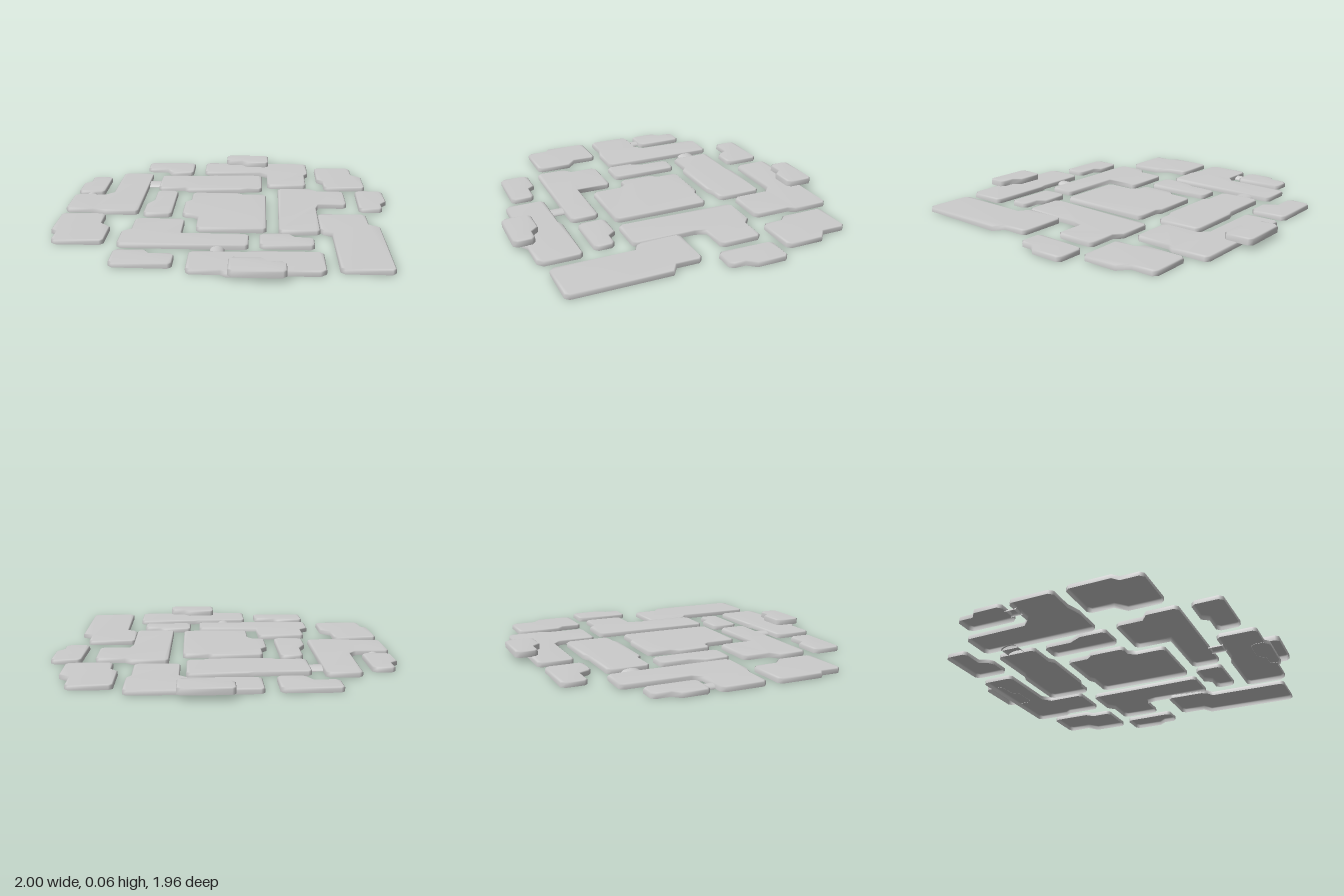
import * as THREE from 'three';

const material = new THREE.MeshStandardMaterial({ color: 0xcccccc, side: THREE.DoubleSide });

// Clip the square outer corners of an outline
function clipCorners(outline, cut) {
  const result = [];
  outline.forEach((p, i) => {
    const n = outline.length;
    const back = outline[(i + n - 1) % n].clone().sub(p).normalize();
    const ahead = outline[(i + 1) % n].clone().sub(p).normalize();
    const turn = ahead.cross(back);
    if (turn > 0.85) {
      result.push(p.clone().addScaledVector(back, cut), p.clone().addScaledVector(ahead, cut));
    } else result.push(p.clone());
  });
  return result;
}

// Move an outline inwards by a mitred offset
function inset(outline, r) {
  const n = outline.length;
  const normal = (a, b) => new THREE.Vector2(a.y - b.y, b.x - a.x).normalize();
  return outline.map((p, i) => {
    const n1 = normal(outline[(i + n - 1) % n], p);
    const n2 = normal(p, outline[(i + 1) % n]);
    const k = r / (1 + n1.dot(n2));
    return p.clone().addScaledVector(n1.add(n2), k);
  });
}

// Thin paving slab, open below: wall, bevel and top, from x,z pairs clockwise seen from above
function slab(name, coords, y0 = 0, y1 = 0.028) {
  const raw = [];
  for (let i = 0; i < coords.length; i += 2) raw.push(new THREE.Vector2(coords[i], coords[i + 1]));
  const outer = clipCorners(raw, 0.022);
  const top = inset(outer, 0.007);
  const n = outer.length;
  const positions = [];
  const index = [];
  const ring = (points, y) => points.forEach((p) => positions.push(p.x, y, p.y));
  ring(outer, y0);
  ring(outer, y1 - 0.006);
  ring(top, y1);
  for (let level = 0; level < 2; level++) {
    for (let i = 0; i < n; i++) {
      const a = level * n + i;
      const b = level * n + (i + 1) % n;
      index.push(b, a, a + n, b, a + n, b + n);
    }
  }
  for (const [a, b, c] of THREE.ShapeUtils.triangulateShape(top, [])) {
    const area = top[b].clone().sub(top[a]).cross(top[c].clone().sub(top[a]));
    const t = 2 * n;
    if (area > 0) index.push(t + a, t + c, t + b);
    else index.push(t + a, t + b, t + c);
  }
  const geometry = new THREE.BufferGeometry();
  geometry.setAttribute('position', new THREE.Float32BufferAttribute(positions, 3));
  geometry.setIndex(index);
  geometry.computeVertexNormals();
  const mesh = new THREE.Mesh(geometry, material);
  mesh.name = name;
  return mesh;
}

// Low arched bridge between two slabs
function bridge(name, x, z, width, length, alongX) {
  const geometry = new THREE.CylinderGeometry(1, 1, 1, 10, 1, true, -Math.PI / 2, Math.PI);
  geometry.rotateX(-Math.PI / 2);
  geometry.scale(width / 2, 0.022, length);
  if (alongX) geometry.rotateY(Math.PI / 2);
  const mesh = new THREE.Mesh(geometry, material);
  mesh.name = name;
  mesh.position.set(x, 0, z);
  return mesh;
}

export function createModel() {
  const model = new THREE.Group();
  model.name = 'pavingStones';

  // Ground slabs, from back to front
  const slabs = {
    backSmallSlab: [-0.6, -0.89, -0.27, -0.89, -0.27, -0.67, -0.425, -0.67, -0.46, -0.745, -0.6, -0.745],
    backCornerSlab: [-0.19, -0.9, 0.535, -0.9, 0.535, -0.68, 0.51, -0.64, 0.51, -0.42, 0.25, -0.42,
      0.25, -0.645, 0.2, -0.69, -0.19, -0.69],
    backLeftSlab: [0.59, -0.81, 0.84, -0.81, 0.84, -0.66, 0.9, -0.61, 0.9, -0.39, 0.63, -0.39,
      0.63, -0.515, 0.59, -0.555],
    rightCornerSlab: [-0.75, -0.635, -0.545, -0.635, -0.545, 0.095, -0.75, 0.095, -0.83, 0.07, -1, 0.07,
      -1, -0.195, -0.8, -0.195, -0.755, -0.24],
    rightSmallSlab: [-0.95, -0.55, -0.82, -0.55, -0.82, -0.245, -0.99, -0.245, -0.99, -0.41, -0.95, -0.445],
    backLongSlab: [-0.475, -0.6, -0.17, -0.6, -0.12, -0.62, 0.215, -0.62, 0.215, -0.345, 0.12, -0.345,
      0.07, -0.325, -0.27, -0.325, -0.3, -0.35, -0.475, -0.35],
    innerSmallSlab: [-0.47, -0.285, -0.335, -0.285, -0.335, 0.13, -0.51, 0.13, -0.51, -0.03, -0.47, -0.11],
    centreSlab: [-0.235, -0.255, 0.06, -0.255, 0.09, -0.235, 0.24, -0.235, 0.24, 0.35, -0.17, 0.35,
      -0.17, 0.17, -0.2, 0.13, -0.27, 0.13, -0.27, -0.08, -0.235, -0.12],
    innerLeftSlab: [0.32, -0.355, 0.53, -0.355, 0.575, -0.315, 0.745, -0.315, 0.745, -0.065, 0.57, -0.065,
      0.55, 0, 0.55, 0.37, 0.31, 0.37, 0.315, 0.02],
    leftSmallSlab: [0.825, -0.33, 1, -0.33, 1, -0.14, 0.96, -0.09, 0.96, 0, 0.815, 0],
    frontRightSlab: [-1, 0.14, -0.73, 0.14, -0.73, 0.29, -0.67, 0.345, -0.67, 0.555, -0.965, 0.555,
      -0.965, 0.43, -1, 0.4],
    frontCornerSlab: [-0.54, 0.205, -0.245, 0.205, -0.245, 0.42, 0.14, 0.42, 0.14, 0.59, -0.59, 0.59,
      -0.59, 0.41, -0.54, 0.37],
    frontInnerSmallSlab: [0.2, 0.41, 0.37, 0.41, 0.405, 0.455, 0.505, 0.455, 0.505, 0.575, 0.2, 0.575],
    frontLeftCornerSlab: [0.55, 0.095, 0.84, 0.095, 0.84, 0.25, 0.9, 0.29, 0.9, 0.865, 0.615, 0.865,
      0.615, 0.39, 0.55, 0.35],
    frontSmallSlab: [-0.59, 0.66, -0.42, 0.66, -0.39, 0.7, -0.255, 0.7, -0.255, 0.84, -0.59, 0.835],
    frontLongSlab: [-0.18, 0.665, 0.13, 0.665, 0.17, 0.65, 0.545, 0.65, 0.545, 0.87, 0.51, 0.9,
      0.34, 0.9, 0.3, 0.925, 0.03, 0.925, 0, 0.9, -0.18, 0.9],
  };
  for (const [name, coords] of Object.entries(slabs)) model.add(slab(name, coords));

  // Two small slabs lying on top of the others
  model.add(slab('backRaisedSlab', [-0.04, -0.985, 0.26, -0.985, 0.26, -0.81, 0.11, -0.81,
    0.07, -0.855, -0.04, -0.855], 0.026, 0.063));
  model.add(slab('frontRaisedSlab', [0.04, 0.805, 0.21, 0.805, 0.25, 0.85, 0.34, 0.85,
    0.34, 0.975, 0.04, 0.975], 0.026, 0.063));

  // Bridges between neighbouring slabs
  model.add(bridge('rightBridge', -0.9, -0.22, 0.065, 0.07, false));
  model.add(bridge('backBridge', -0.51, -0.47, 0.11, 0.09, true));
  model.add(bridge('frontBridge', -0.03, 0.628, 0.08, 0.09, false));

  return model;
}
